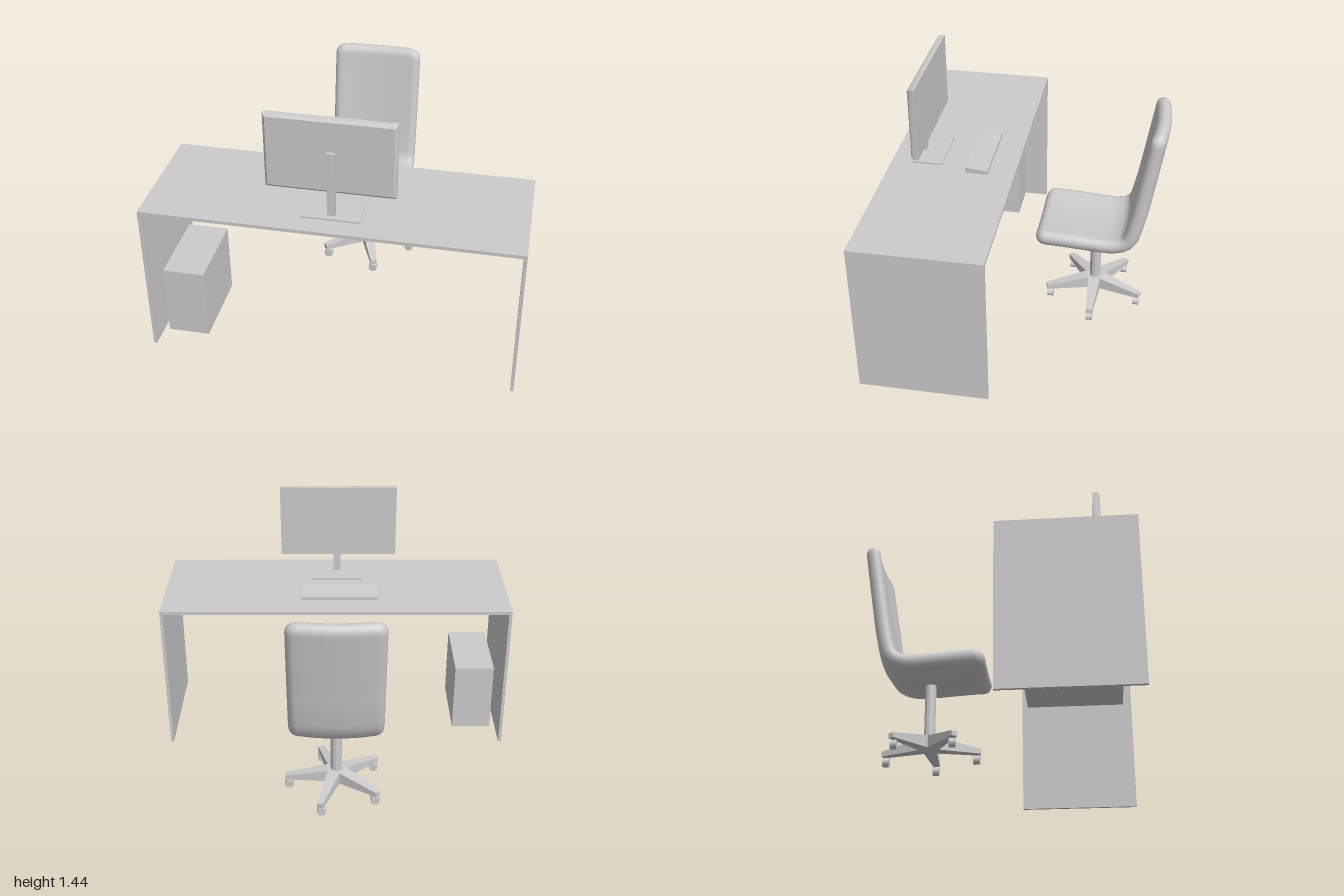
import * as THREE from 'three';

const grey = new THREE.MeshStandardMaterial({ color: 0xcccccc });
const faceted = new THREE.MeshStandardMaterial({ color: 0xcccccc, flatShading: true });

function add(parent, name, geometry, material = grey) {
  const mesh = new THREE.Mesh(geometry, material);
  mesh.name = name;
  parent.add(mesh);
  return mesh;
}

// Box given by its limits; shape(v) may move the corners by a rule
function block(x0, x1, y0, y1, z0, z1, shape, zSegments = 1) {
  const g = new THREE.BoxGeometry(x1 - x0, y1 - y0, z1 - z0, 1, 1, zSegments);
  g.translate((x0 + x1) / 2, (y0 + y1) / 2, (z0 + z1) / 2);
  if (shape) {
    const p = g.attributes.position, v = new THREE.Vector3();
    for (let i = 0; i < p.count; i++) {
      shape(v.fromBufferAttribute(p, i));
      p.setXYZ(i, v.x, v.y, v.z);
    }
    g.computeVertexNormals();
  }
  return g;
}

// One-piece seat and backrest: a rounded section swept along a bent side profile
function cushionGeometry() {
  const W = 0.255, R = 0.045, CORNER = 0.06, SAG = 0.022, STEPS = 56;
  const path = new THREE.CatmullRomCurve3([
    [-0.062, 0.522], [-0.2, 0.517], [-0.4, 0.504], [-0.5, 0.504], [-0.572, 0.536],
    [-0.614, 0.67], [-0.642, 0.83], [-0.67, 1.0], [-0.698, 1.175], [-0.707, 1.232],
  ].map(([z, y]) => new THREE.Vector3(0, y, z)));
  const length = path.getLength();

  // Section entries: core side, arc x, arc height
  const section = [];
  for (const side of [1, -1]) {
    for (let k = 0; k <= 8; k++) {
      const a = -Math.PI / 2 + Math.PI * k / 8;
      section.push([side, side * Math.cos(a), side * Math.sin(a)]);
    }
    for (let k = 1; k < 8; k++) section.push([side * (1 - k / 4), 0, side]);
  }

  const round = (d, r) => Math.sqrt(Math.max(0, 1 - Math.max(0, 1 - d / r) ** 2));
  const positions = [], index = [], n = section.length;
  for (let i = 0; i <= STEPS; i++) {
    const u = (1 - Math.cos(Math.PI * i / STEPS)) / 2;
    const p = path.getPointAt(u), t = path.getTangentAt(u);
    const d = Math.min(u, 1 - u) * length;
    const w = W - CORNER + CORNER * round(d, CORNER);
    const half = (0.046 - 0.006 * u) * round(d, R);
    for (const [core, ax, an] of section) {
      const x = core * (w - R) + ax * R;
      const h = an * half - SAG * (1 - (x / W) ** 2);
      positions.push(x, p.y - t.z * h, p.z + t.y * h);
    }
    if (i === STEPS) break;
    for (let j = 0; j < n; j++) {
      const a = i * n + j, b = i * n + (j + 1) % n;
      index.push(a, a + n, b, b, a + n, b + n);
    }
  }
  const g = new THREE.BufferGeometry();
  g.setAttribute('position', new THREE.Float32BufferAttribute(positions, 3));
  g.setIndex(index);
  g.computeVertexNormals();
  return g;
}

function createDesk() {
  const desk = new THREE.Group();
  desk.name = 'desk';
  add(desk, 'deskTop', block(-1, 1, 0.866, 0.885, 0.06, 0.762));
  add(desk, 'rightSidePanel', block(-1, -0.982, 0, 0.866, 0.06, 0.762));
  add(desk, 'leftSidePanel', block(0.982, 1, 0, 0.866, 0.06, 0.762));
  return desk;
}

function createComputer() {
  const computer = new THREE.Group();
  computer.name = 'computer';
  add(computer, 'tower', block(-0.945, -0.715, 0.015, 0.43, 0.2, 0.65));

  // Screen with bevelled rim on the side facing away from the chair
  const cx = -0.015, cy = 1.227;
  add(computer, 'monitorScreen', block(-0.355, 0.325, 1.017, 1.437, 0.555, 0.596, (v) => {
    if (v.z > 0.59) {
      v.x -= 0.013 * Math.sign(v.x - cx);
      v.y -= 0.013 * Math.sign(v.y - cy);
    } else if (v.z > 0.56) v.z = 0.585;
  }, 2));
  add(computer, 'monitorPost', block(-0.028, 0.015, 0.893, 1.258, 0.596, 0.617));
  add(computer, 'monitorBase', block(-0.16, 0.145, 0.885, 0.894, 0.475, 0.65));

  // Keyboard, sloping down towards the chair
  add(computer, 'keyboard', block(-0.24, 0.2, 0.885, 0.92, 0.207, 0.332, (v) => {
    if (v.y > 0.9 && v.z < 0.25) v.y = 0.905;
  }));
  return computer;
}

function createChair() {
  const chair = new THREE.Group();
  chair.name = 'chair';
  add(chair, 'seatAndBackrest', cushionGeometry());

  const base = new THREE.Group();
  base.name = 'chairBase';
  base.position.z = -0.385;
  chair.add(base);

  add(base, 'column', new THREE.CylinderGeometry(0.031, 0.031, 0.34, 12), faceted).position.y = 0.3;

  // Pentagonal hub, one flat side for each arm
  const hub = add(base, 'hub', new THREE.CylinderGeometry(0.06, 0.06, 0.07, 5), faceted);
  hub.position.y = 0.095;
  hub.rotation.y = -Math.PI / 2;

  // Five tapering arms with wheels
  const armGeometry = block(0.0485, 0.287, 0.06, 0.13, -0.035, 0.035, (v) => {
    if (v.x > 0.1) {
      v.z *= 0.5;
      if (v.y > 0.1) v.y = 0.087;
    }
  });
  const wheelGeometry = new THREE.CylinderGeometry(0.025, 0.025, 0.035, 16).rotateX(Math.PI / 2);
  for (let i = 0; i < 5; i++) {
    const a = i * Math.PI * 2 / 5;
    add(base, 'baseArm', armGeometry).rotation.y = -a;
    add(base, 'wheel', wheelGeometry)
      .position.set(0.265 * Math.cos(a), 0.027, 0.265 * Math.sin(a));
  }
  return chair;
}

export function createModel() {
  const model = new THREE.Group();
  model.name = 'workstation';
  model.add(createDesk(), createComputer(), createChair());
  return model;
}
